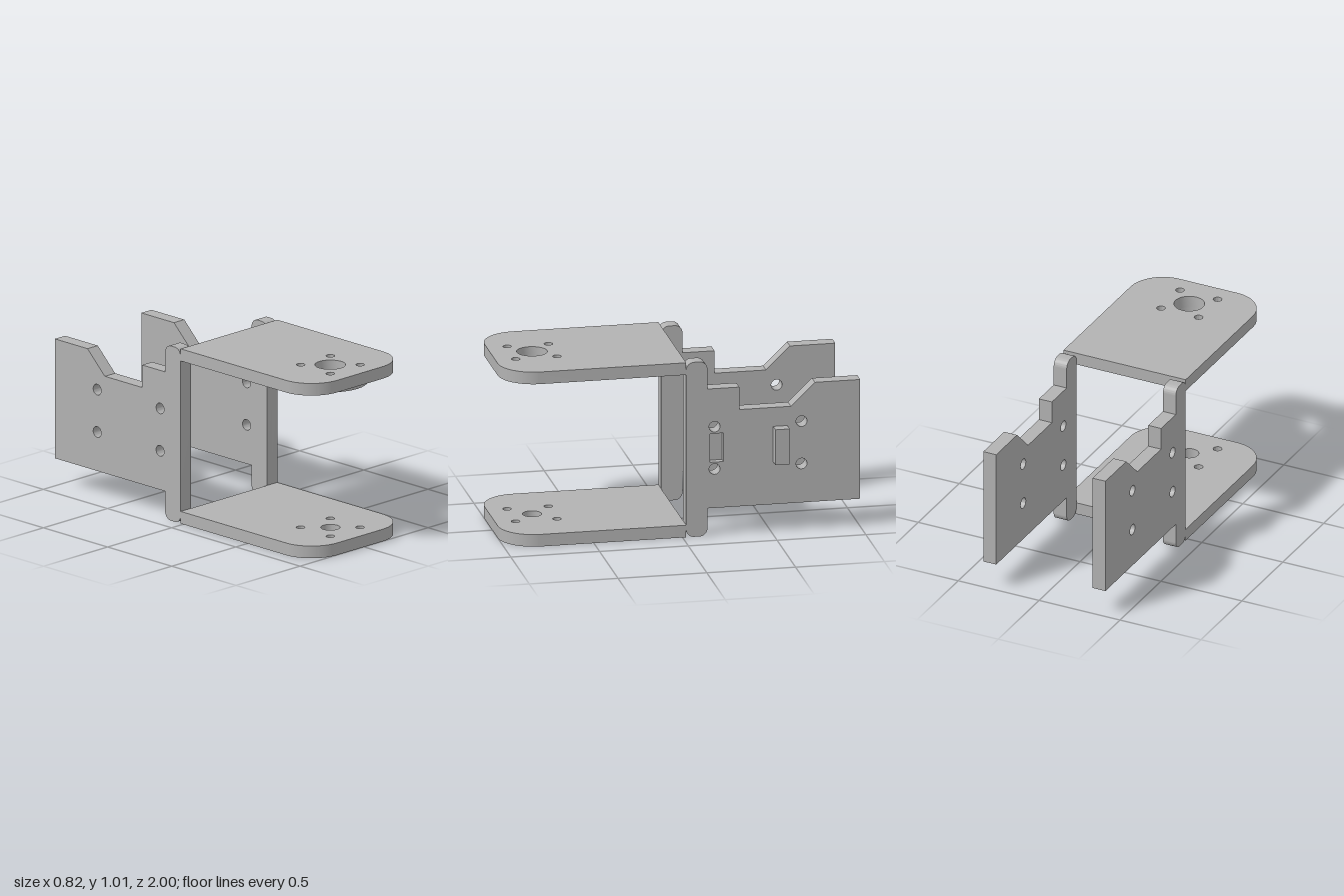
import * as THREE from 'three';
import { toCreasedNormals } from 'three/addons/utils/BufferGeometryUtils.js';

const CX = -0.0325, HALF = 0.3775; // middle and half width of the bracket body
const BORE_Z = 0.77;

function circleHole(x, y, r) {
  const p = new THREE.Path();
  p.absarc(x, y, r, 0, Math.PI * 2, true);
  return p;
}

function rectHole(x0, x1, y0, y1) {
  return new THREE.Path([[x0, y0], [x0, y1], [x1, y1], [x1, y0]].map(p => new THREE.Vector2(...p)));
}

function extrude(shape, depth) {
  return new THREE.ExtrudeGeometry(shape, { depth, bevelEnabled: false, curveSegments: 16 });
}

// Arm with rounded front corners, drawn in x/z; central bore and optional four screw holes
function armShape(boreRadius) {
  const r = 0.2, x0 = CX - HALF, x1 = CX + HALF;
  const s = new THREE.Shape();
  s.moveTo(x0, -0.02);
  s.lineTo(x1, -0.02);
  s.lineTo(x1, 1 - r);
  s.absarc(x1 - r, 1 - r, r, 0, Math.PI / 2, false);
  s.lineTo(x0 + r, 1);
  s.absarc(x0 + r, 1 - r, r, Math.PI / 2, Math.PI, false);
  s.lineTo(x0, -0.02);
  s.holes.push(circleHole(CX, BORE_Z, boreRadius));
  for (const dx of [-0.116, 0.116])
    for (const dz of [-0.116, 0.116]) s.holes.push(circleHole(CX + dx, BORE_Z + dz, 0.024));
  return s;
}

// Side plate drawn in (-z)/y: tall rounded post, then a notched panel to the rear
function sideShape(withPocket) {
  const r = 0.045, a = 0.02, b = 0.14, top = 1.01;
  const s = new THREE.Shape();
  s.moveTo(a, r);
  s.absarc(a + r, r, r, Math.PI, Math.PI * 1.5, false);
  s.absarc(b - r, r, r, -Math.PI / 2, 0, false);
  for (const [u, y] of [[b, 0.16], [1, 0.16], [1, 0.85], [0.745, 0.85], [0.61, 0.72],
    [0.32, 0.72], [0.32, 0.85], [b, 0.85]]) s.lineTo(u, y);
  s.absarc(b - r, top - r, r, 0, Math.PI / 2, false);
  s.absarc(a + r, top - r, r, Math.PI / 2, Math.PI, false);
  s.lineTo(a, r);
  for (const u of [0.18, 0.67])
    for (const y of [0.385, 0.63]) s.holes.push(circleHole(u, y, 0.031));
  if (withPocket) s.holes.push(rectHole(0.155, 0.23, 0.425, 0.59));
  return s;
}

export function createModel() {
  const group = new THREE.Group();
  group.name = 'bracket';
  const metal = new THREE.MeshStandardMaterial({ color: 0xb2b2b2 });
  metal.name = 'greyMetal';

  function add(name, geometry) {
    const mesh = new THREE.Mesh(toCreasedNormals(geometry, 0.5), metal);
    mesh.name = name;
    group.add(mesh);
  }
  const flat = (shape, depth, topY) => extrude(shape, depth).rotateX(Math.PI / 2).translate(0, topY, 0);
  const upright = (shape, depth, x) => extrude(shape, depth).rotateY(Math.PI / 2).translate(x, 0, 0);

  // Upper and lower arms
  add('upperArm', flat(armShape(0.085), 0.07, 1.01));
  add('lowerArm', flat(armShape(0.053), 0.07, 0.07));

  // Ring boss under the upper arm, closing its screw holes
  const boss = new THREE.Shape();
  boss.absarc(CX, BORE_Z, 0.2075, 0, Math.PI * 2, false);
  boss.holes.push(circleHole(CX, BORE_Z, 0.085));
  add('boss', flat(boss, 0.025, 0.94));

  // Side plates; the +x one carries a blind pocket in its outer layer
  add('rightPlate', upright(sideShape(false), 0.08, -0.41));
  add('leftPlateInner', upright(sideShape(false), 0.04, 0.265));
  add('leftPlateOuter', upright(sideShape(true), 0.04, 0.305));

  // Locating peg on the +x plate
  add('peg', new THREE.BoxGeometry(0.065, 0.205, 0.08).translate(0.3755, 0.5075, -0.55));

  return group;
}
